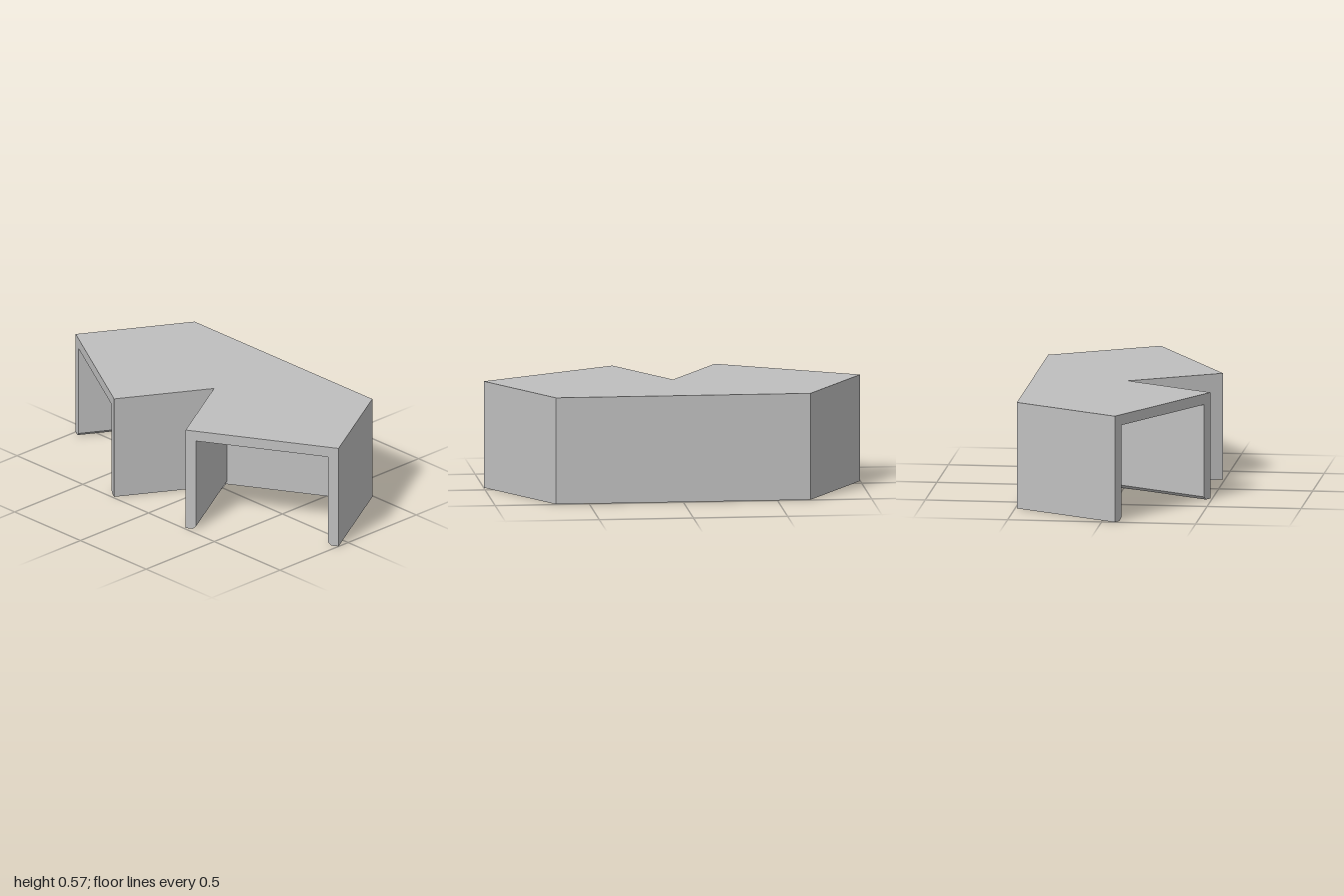
import * as THREE from 'three';

const HEIGHT = 0.57, T = 0.057;          // overall height, panel thickness
const CHAMFER = 0.017;                   // bevel under the bay side walls
const WIDTH = 0.84, DEPTH = 0.647;       // outer size of one angled bay
const S = Math.sqrt(3) / 2;

// Plan point of the bay: u runs across the opening, v runs inwards
const bay = (u, v) => new THREE.Vector2(-0.49 + u * 0.5 + v * S, 0.272 + u * S - v * 0.5);

// Half of an outline plus its mirror image across the middle
const mirrored = (half) => [...half, ...half.map((p) => new THREE.Vector2(p.x, -p.y)).reverse()];

const notch = new THREE.Vector2(-0.49 + 0.272 * 2 * S, 0);
const outerOutline = () => {
  const pts = mirrored([bay(WIDTH, DEPTH), bay(WIDTH, 0), bay(0, 0)]);
  pts.splice(3, 0, notch);
  return pts;
};

// Wall footprint with two open bays; inset c widens each bay sideways
const wallOutline = (c) => {
  const u0 = T - c, u1 = WIDTH - T + c, back = DEPTH - T;
  const pts = mirrored([
    bay(WIDTH, DEPTH), bay(WIDTH, 0),
    bay(u1, 0), bay(u1, back), bay(u0, back), bay(u0, 0),
    bay(0, 0),
  ]);
  pts.splice(7, 0, notch);
  return pts;
};

// Triangular hollow between the two bays and the long wall
const hollowOutline = () => {
  const a = bay(WIDTH, DEPTH);
  const z = a.y - T * 2 * S;
  return [
    new THREE.Vector2(a.x - T, z),
    new THREE.Vector2(a.x - T, -z),
    new THREE.Vector2(a.x - a.y / (2 * S), 0),
  ];
};

function createWalls() {
  const shape = new THREE.Shape(wallOutline(0));
  shape.holes.push(new THREE.Path(hollowOutline()));
  const geo = new THREE.ExtrudeGeometry(shape, { depth: 1, steps: 2, bevelEnabled: false });

  // Set the three levels and spread the lowest one to form the chamfers
  const levels = [0, CHAMFER, HEIGHT - T];
  const straight = wallOutline(0), spread = wallOutline(CHAMFER);
  const pos = geo.attributes.position;
  for (let i = 0; i < pos.count; i++) {
    const level = Math.round(pos.getZ(i) * 2);
    if (level === 0) {
      const k = straight.findIndex((p) => Math.hypot(p.x - pos.getX(i), p.y - pos.getY(i)) < 1e-4);
      if (k >= 0) pos.setXY(i, spread[k].x, spread[k].y);
    }
    pos.setZ(i, levels[level]);
  }
  geo.rotateX(-Math.PI / 2);
  geo.computeVertexNormals();
  return geo;
}

function createRoof() {
  const geo = new THREE.ExtrudeGeometry(new THREE.Shape(outerOutline()), { depth: T, bevelEnabled: false });
  geo.rotateX(-Math.PI / 2);
  geo.translate(0, HEIGHT - T, 0);
  return geo;
}

export function createModel() {
  const grey = new THREE.MeshStandardMaterial({ color: 0xbfbfbf });
  grey.name = 'light grey';

  const group = new THREE.Group();
  group.name = 'doubleBayShelter';
  const add = (name, geo) => {
    const mesh = new THREE.Mesh(geo, grey);
    mesh.name = name;
    group.add(mesh);
  };
  add('bayWalls', createWalls());
  add('roofSlab', createRoof());
  return group;
}
